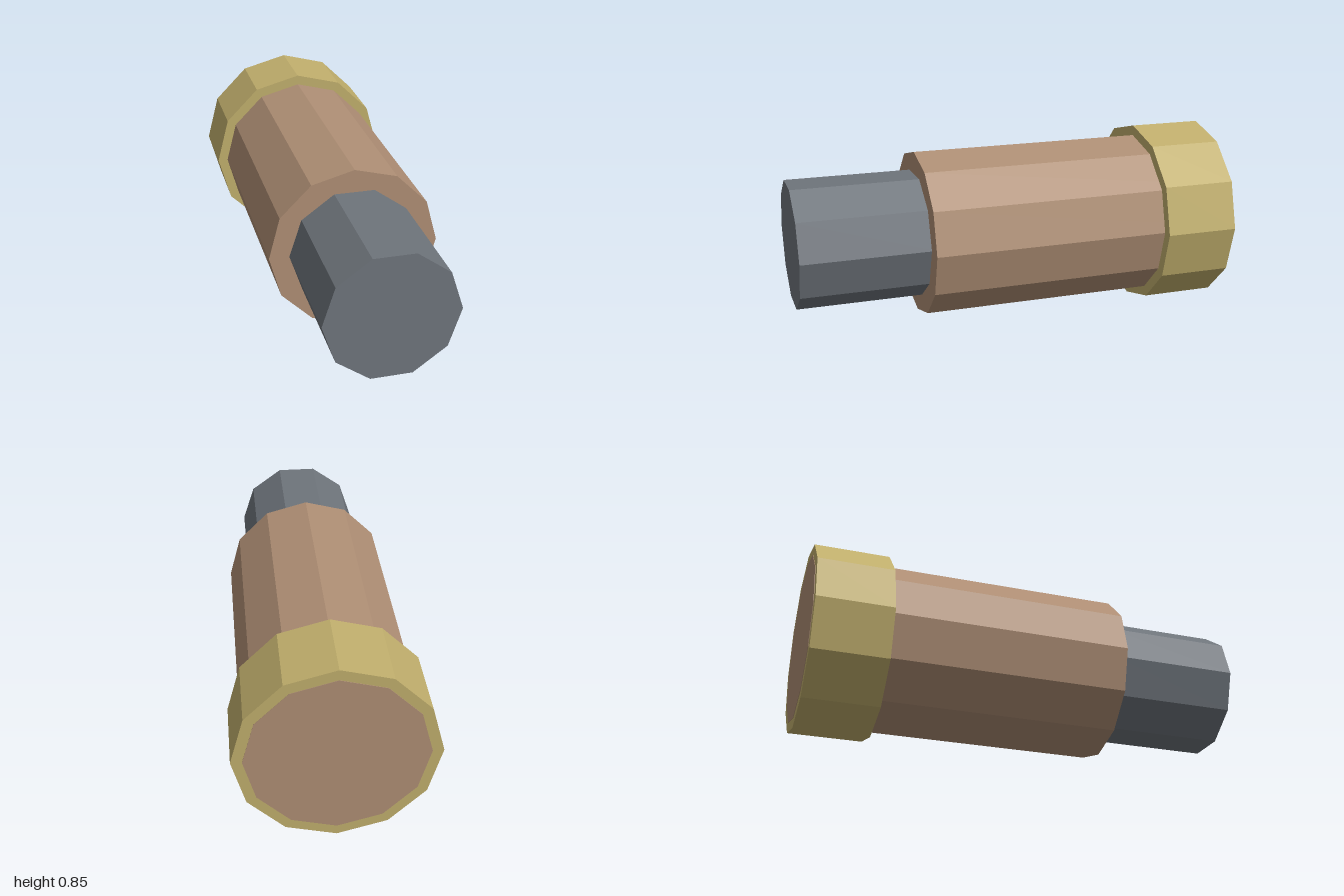
import * as THREE from 'three';

const AXIS_Y = 0.427;

function flatMaterial(name, color) {
  const material = new THREE.MeshStandardMaterial({ color });
  material.name = name;
  material.flatShading = true;
  return material;
}

// Faceted cylinder lying along z, from back to front
function barrel(name, radius, sides, back, front, material, turn = 0) {
  const geometry = new THREE.CylinderGeometry(radius, radius, front - back, sides, 1, false, turn);
  geometry.rotateX(Math.PI / 2);
  const mesh = new THREE.Mesh(geometry, material);
  mesh.name = name;
  mesh.position.set(0, AXIS_Y, (front + back) / 2);
  return mesh;
}

export function createModel() {
  const brass = flatMaterial('brass', 0xc0ae6c);
  const copper = flatMaterial('copper', 0xae8e74);
  const steel = flatMaterial('steel', 0x6e747b);

  const model = new THREE.Group();
  model.name = 'steppedCylinder';
  model.add(
    // Wide rim at the back, its end just behind the casing's end
    barrel('rearRim', 0.427, 12, -0.998, -0.66, brass),
    // Main casing, running through the rim to the back end
    barrel('casing', 0.38, 12, -1, 0.425, copper),
    // Narrow ten-sided tip, turned so that corners sit left and right
    barrel('tip', 0.29, 10, 0.4, 1, steel, Math.PI / 10),
  );
  return model;
}
